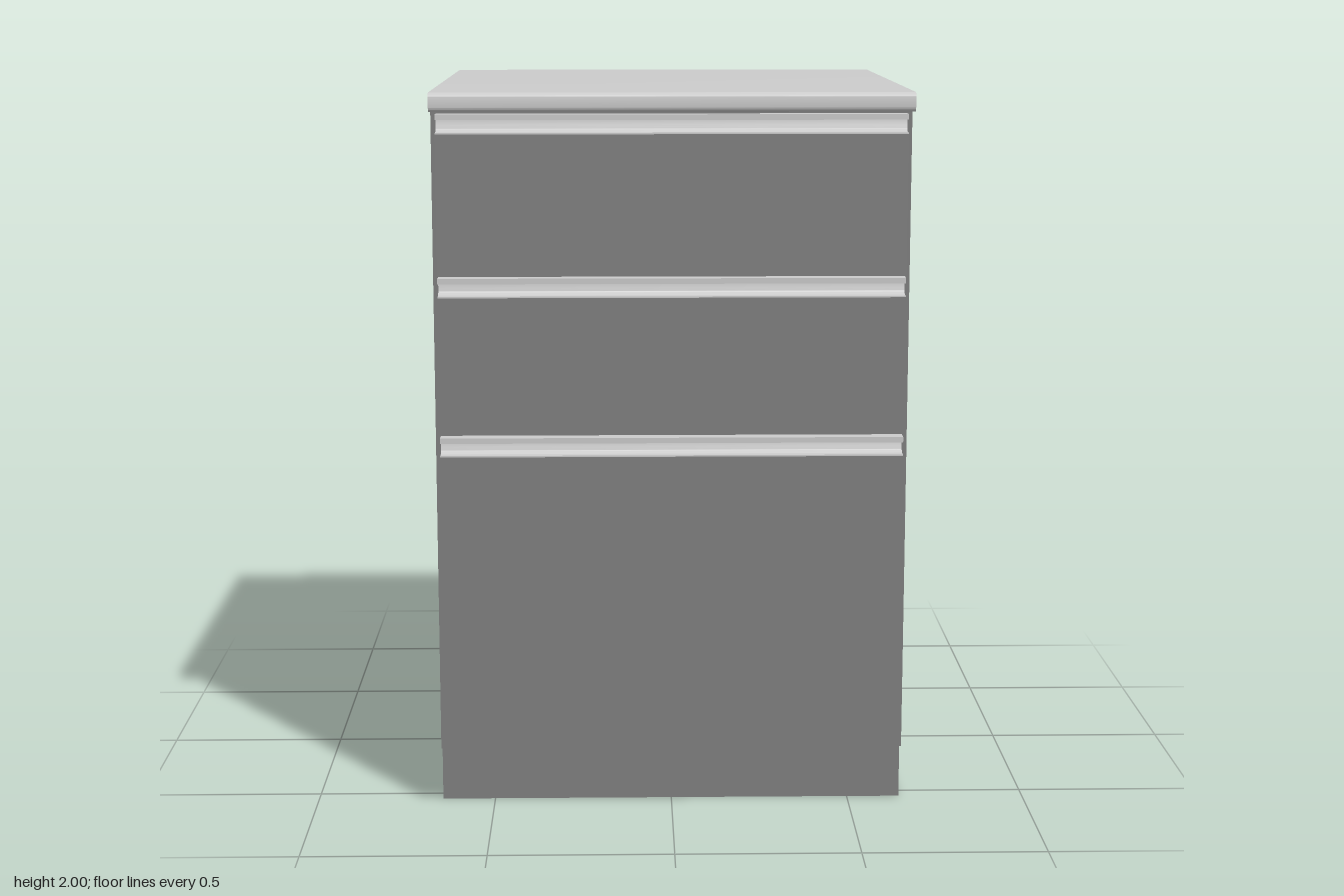
import * as THREE from 'three';
import { toCreasedNormals } from 'three/addons/utils/BufferGeometryUtils.js';

const light = new THREE.MeshStandardMaterial({ color: 0xcccccc });
const dark = new THREE.MeshStandardMaterial({ color: 0x808080 });

// Extrude a side profile drawn in (z, y) across the width, centred on x = 0
function across(name, shape, width, material) {
  const geo = new THREE.ExtrudeGeometry(shape, { depth: width, bevelEnabled: false, curveSegments: 8 });
  geo.translate(0, 0, -width / 2);
  geo.rotateY(-Math.PI / 2);
  const mesh = new THREE.Mesh(toCreasedNormals(geo, 0.6), material);
  mesh.name = name;
  return mesh;
}

// Thin bent-metal pull: rounded trough, upright back, top flange and small lip
function handleProfile(y) {
  const s = new THREE.Shape();
  const back = 0.592, front = 0.632, t = 0.004, r = 0.018;
  s.moveTo(front, y);
  s.lineTo(front, y + t);
  s.lineTo(back + t + r, y + t);
  s.absarc(back + t + r, y + t + r, r, -Math.PI / 2, -Math.PI, true);
  s.lineTo(back + t, y + 0.049);
  s.lineTo(front - t, y + 0.049);
  s.lineTo(front - t, y + 0.038);
  s.lineTo(front, y + 0.038);
  s.lineTo(front, y + 0.053);
  s.lineTo(back, y + 0.053);
  s.lineTo(back, y);
  s.closePath();
  return s;
}

export function createModel() {
  const model = new THREE.Group();
  model.name = 'drawerCabinet';

  // Carcass with recessed toe kick
  const body = new THREE.Shape([
    [-0.672, 0], [0.546, 0], [0.546, 0.163], [0.59, 0.163], [0.59, 1.948], [-0.672, 1.948],
  ].map(([z, y]) => new THREE.Vector2(z, y)));
  model.add(across('carcass', body, 1.296, dark));

  // Worktop with rounded front edges
  const top = new THREE.Shape();
  const r = 0.014, f = 0.672;
  top.moveTo(-f, 1.948);
  top.lineTo(f - r, 1.948);
  top.absarc(f - r, 1.948 + r, r, -Math.PI / 2, 0, false);
  top.lineTo(f, 2 - r);
  top.absarc(f - r, 2 - r, r, 0, Math.PI / 2, false);
  top.lineTo(-f, 2);
  top.closePath();
  model.add(across('worktop', top, 1.296, light));

  // Drawer fronts, each topped by a full-width pull
  const drawers = [[0.163, 1.007], [1.072, 1.446], [1.508, 1.887]];
  drawers.forEach(([y0, y1], i) => {
    const drawer = new THREE.Group();
    drawer.name = `drawer${i + 1}`;
    const panel = new THREE.Mesh(new THREE.BoxGeometry(1.268, y1 - y0, 0.042), dark);
    panel.position.set(0, (y0 + y1) / 2, 0.611);
    panel.name = 'drawerFront';
    drawer.add(panel, across('drawerPull', handleProfile(y1), 1.268, light));
    model.add(drawer);
  });

  return model;
}
